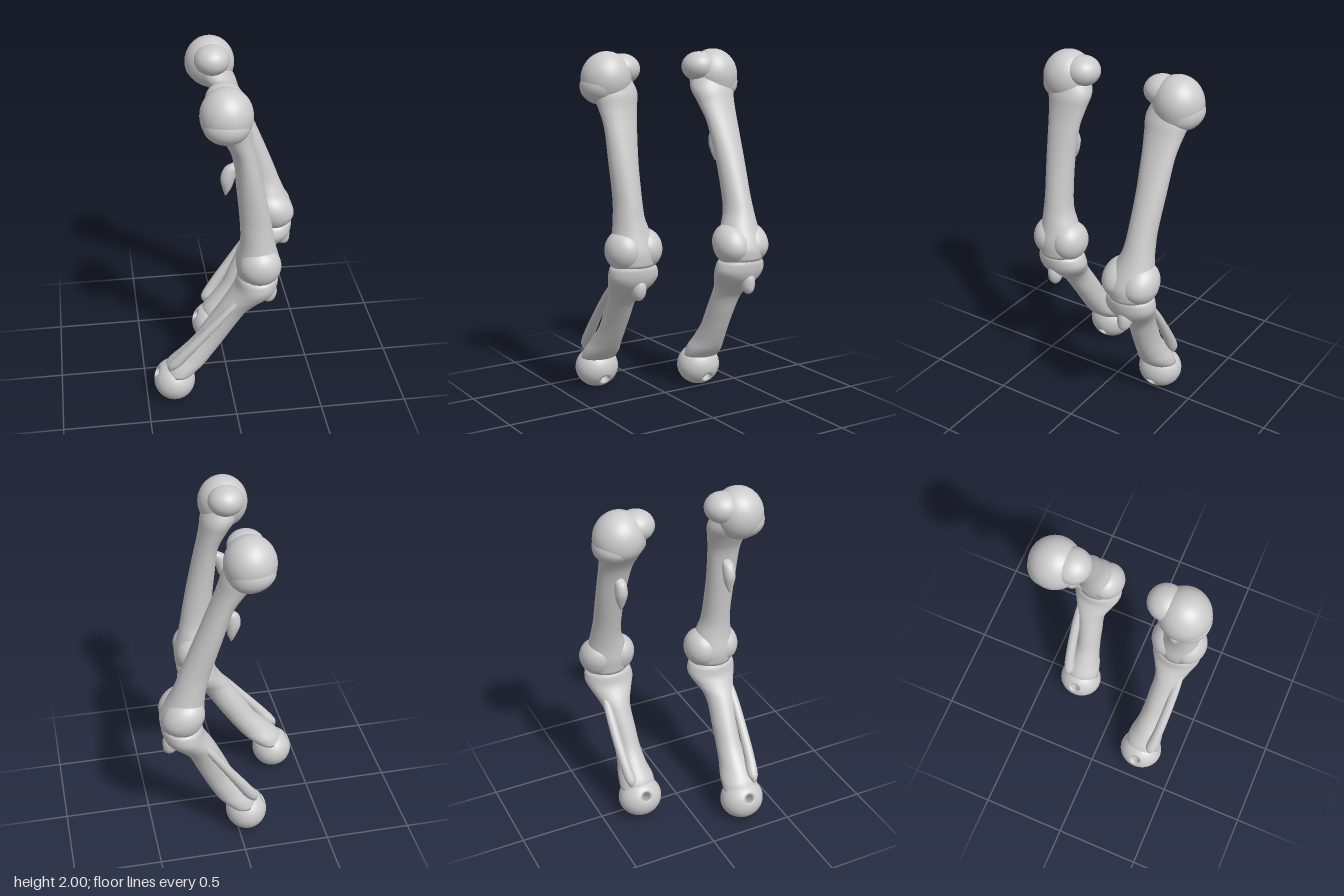
import * as THREE from 'three';
import { mergeVertices } from 'three/addons/utils/BufferGeometryUtils.js';

const material = new THREE.MeshStandardMaterial({ color: 0xcccccc });

// Smooth skin over horizontal elliptical rings given as [y, xMin, xMax, zMin, zMax], top to bottom
function loft(rows, rings = 40, sides = 32) {
  const centre = new THREE.CatmullRomCurve3(rows.map(([y, a, b, c, d]) => new THREE.Vector3((a + b) / 2, y, (c + d) / 2)), false, 'centripetal');
  const radius = new THREE.CatmullRomCurve3(rows.map(([, a, b, c, d], i) => new THREE.Vector3((b - a) / 2, i, (d - c) / 2)), false, 'centripetal');
  const pos = [], index = [];
  for (let i = 0; i <= rings; i++) {
    const c = centre.getPoint(i / rings), r = radius.getPoint(i / rings);
    for (let j = 0; j < sides; j++) {
      const t = (j / sides) * Math.PI * 2;
      pos.push(c.x + r.x * Math.cos(t), c.y, c.z + r.z * Math.sin(t));
      if (i < rings) {
        const a = i * sides + j, b = i * sides + (j + 1) % sides;
        index.push(a, b, a + sides, b, b + sides, a + sides);
      }
    }
  }
  // End caps
  [0, rings].forEach((ring) => {
    const c = centre.getPoint(ring / rings), k = pos.length / 3;
    pos.push(c.x, c.y, c.z);
    for (let j = 0; j < sides; j++) {
      const a = ring * sides + j, b = ring * sides + (j + 1) % sides;
      if (ring === 0) index.push(k, b, a); else index.push(k, a, b);
    }
  });
  const g = new THREE.BufferGeometry();
  g.setAttribute('position', new THREE.Float32BufferAttribute(pos, 3));
  g.setIndex(index);
  return g;
}

function ellipsoid(x, y, z, rx, ry, rz, tilt = 0) {
  return new THREE.SphereGeometry(1, 36, 24).scale(rx, ry, rz).rotateX(tilt).translate(x, y, z);
}

// Ball with a narrow bore through it
function boredBall(r, bore) {
  const start = Math.asin(bore / r), pts = [];
  for (let i = 0; i <= 24; i++) {
    const a = Math.PI - start - (i / 24) * (Math.PI - 2 * start);
    pts.push(new THREE.Vector2(r * Math.sin(a), r * Math.cos(a)));
  }
  pts.push(new THREE.Vector2(bore * 0.85, r * 0.8), new THREE.Vector2(bore * 0.85, -r * 0.8), pts[0].clone());
  return new THREE.LatheGeometry(pts, 36);
}

// Sideways offset by height that puts the second leg in its wider stance
function stance(y) {
  const s = (a, b) => THREE.MathUtils.clamp((a - y) / (a - b), 0, 1);
  return 0.185 * s(1.8, 0.9) + 0.1 * s(0.7, 0.2);
}

function createLeg(name, mirrored) {
  const leg = new THREE.Group();
  leg.name = name;
  const add = (partName, geometry) => {
    geometry.deleteAttribute('uv');
    geometry.deleteAttribute('normal');
    const g = mergeVertices(geometry, 1e-5);
    if (mirrored) {
      const p = g.attributes.position, ix = g.index;
      for (let i = 0; i < p.count; i++) p.setXYZ(i, p.getX(i) + stance(p.getY(i)), p.getY(i), -p.getZ(i));
      for (let i = 0; i < ix.count; i += 3) {
        const b = ix.getX(i + 1);
        ix.setX(i + 1, ix.getX(i + 2));
        ix.setX(i + 2, b);
      }
    }
    g.computeVertexNormals();
    const mesh = new THREE.Mesh(g, material);
    mesh.name = partName;
    leg.add(mesh);
  };

  // Thigh bone
  add('femurShaft', loft([
    [1.86, -0.13, 0.06, 0.22, 0.43], [1.78, -0.11, 0.09, 0.19, 0.45], [1.7, -0.06, 0.1, 0.205, 0.435],
    [1.6, -0.01, 0.12, 0.225, 0.42], [1.4, 0.015, 0.165, 0.24, 0.41], [1.2, 0.035, 0.205, 0.24, 0.4],
    [1.1, 0.04, 0.222, 0.23, 0.405], [1.02, 0.035, 0.24, 0.2, 0.415], [0.92, 0.02, 0.265, 0.17, 0.43],
    [0.84, 0.03, 0.262, 0.18, 0.42]]));
  add('femurHead', ellipsoid(-0.042, 1.85, 0.355, 0.14, 0.15, 0.14, -0.2));
  add('femurHeadRearLobe', ellipsoid(-0.04, 1.9, 0.255, 0.1, 0.085, 0.1));
  add('femurHeadOuterLobe', ellipsoid(-0.045, 1.81, 0.385, 0.125, 0.1, 0.115));
  [0.235, 0.36].forEach((z, i) => add(i ? 'outerCondyle' : 'innerCondyle', ellipsoid(0.145, 0.925, z, 0.118, 0.115, 0.102)));

  // Small hooked spur beside the thigh bone
  add('femurSpur', loft([
    [1.555, 0.0, 0.03, 0.3, 0.33], [1.53, -0.045, 0.03, 0.285, 0.345], [1.47, -0.07, 0.01, 0.28, 0.35],
    [1.41, -0.06, -0.01, 0.29, 0.34], [1.365, -0.047, -0.037, 0.31, 0.32]], 20, 16));

  // Shin bone
  add('tibiaShaft', loft([
    [0.84, 0.035, 0.255, 0.18, 0.42], [0.82, 0.025, 0.258, 0.16, 0.435], [0.77, 0.015, 0.25, 0.148, 0.44],
    [0.72, -0.015, 0.225, 0.17, 0.42], [0.66, -0.06, 0.15, 0.205, 0.39], [0.6, -0.1, 0.085, 0.215, 0.37],
    [0.5, -0.165, 0.02, 0.21, 0.355], [0.4, -0.23, -0.045, 0.205, 0.35], [0.3, -0.325, -0.115, 0.19, 0.36],
    [0.24, -0.38, -0.165, 0.17, 0.375], [0.19, -0.4, -0.225, 0.165, 0.38]]));
  add('tibialTuberosity', ellipsoid(0.205, 0.715, 0.302, 0.048, 0.07, 0.042));
  add('ankle', boredBall(0.12, 0.028).rotateZ(Math.PI / 3).scale(1, 1, 1.08).translate(-0.338, 0.12, 0.27));

  // Slender outer shin bone
  add('fibula', loft([
    [0.735, 0.05, 0.06, 0.355, 0.365], [0.72, 0.02, 0.065, 0.34, 0.38], [0.65, -0.05, 0.005, 0.338, 0.388],
    [0.5, -0.185, -0.12, 0.332, 0.387], [0.35, -0.32, -0.24, 0.318, 0.378], [0.28, -0.375, -0.295, 0.305, 0.37],
    [0.245, -0.38, -0.335, 0.32, 0.355], [0.23, -0.373, -0.36, 0.33, 0.345]], 36, 20));
  return leg;
}

export function createModel() {
  const model = new THREE.Group();
  model.name = 'legBones';
  model.add(createLeg('frontLeg', false), createLeg('backLeg', true));
  return model;
}
